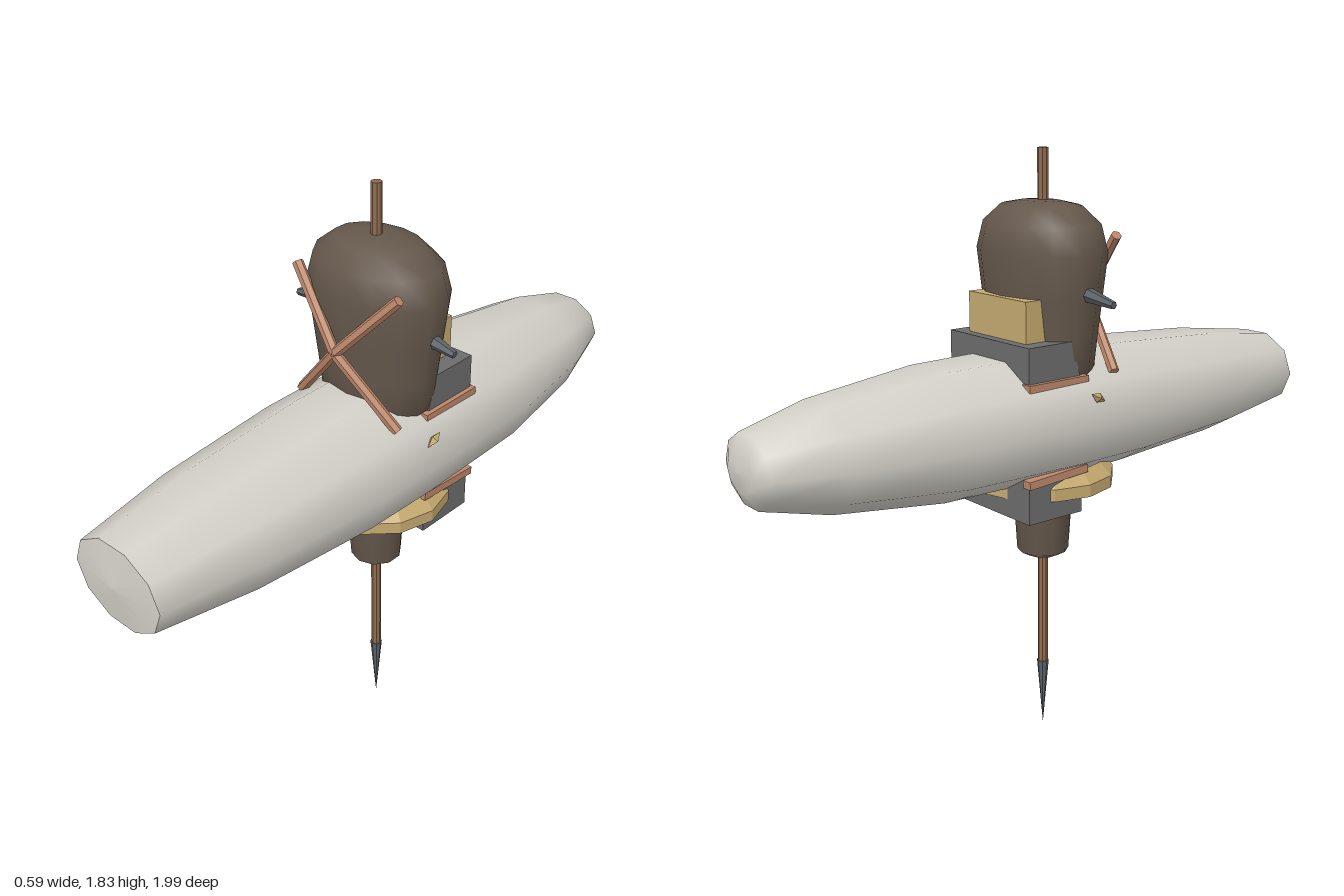
import * as THREE from 'three';

const V = (x, y, z) => new THREE.Vector3(x, y, z);

export function createModel() {
  const model = new THREE.Group();
  const mat = (color, flatShading = false) => new THREE.MeshStandardMaterial({ color, flatShading, side: THREE.DoubleSide });
  const pale = mat(0xd2cfc7), brown = mat(0x65584c), wood = mat(0x8f6b50, true), copper = mat(0xbd876a, true);
  const tan = mat(0xc4a970, true), grey = mat(0x6c6c6c, true), iron = mat(0x5c6168, true);

  function add(name, geometry, material, x = 0, y = 0, z = 0) {
    const mesh = new THREE.Mesh(geometry, material);
    mesh.name = name;
    mesh.position.set(x, y, z);
    model.add(mesh);
    return mesh;
  }
  // profile points are [radius, height]
  const lathe = (pts, sides, start = 0) =>
    new THREE.LatheGeometry(pts.map(p => new THREE.Vector2(...p)), sides, start);
  // side outline of [z, y] points, extruded across x
  function prism(pts, x0, x1) {
    const shape = new THREE.Shape(pts.map(p => new THREE.Vector2(...p)));
    return new THREE.ExtrudeGeometry(shape, { depth: x1 - x0, bevelEnabled: false })
      .rotateY(-Math.PI / 2).translate(x1, 0, 0);
  }
  // tapered rod between two points
  function rod(name, a, b, r0, r1, material, sides = 6) {
    const d = b.clone().sub(a);
    const mesh = add(name, new THREE.CylinderGeometry(r1, r0, d.length(), sides), material);
    mesh.position.copy(a).add(b).multiplyScalar(0.5);
    mesh.quaternion.setFromUnitVectors(V(0, 1, 0), d.normalize());
    return mesh;
  }

  // long ten-sided hull lying along z, domed at the back and cut off at the front
  const hull = [[0, -1], [0.07, -0.995], [0.13, -0.97], [0.195, -0.77], [0.248, -0.42],
    [0.256, 0], [0.252, 0.25], [0.218, 0.66], [0.165, 0.97]];
  const lay = g => g.rotateX(Math.PI / 2).scale(1, 0.79, 1);
  add('hull', lay(lathe(hull, 10, Math.PI / 2)), pale, 0.015, 1.055);
  add('hullFrontCap', lay(lathe([[0.165, 0.97], [0, 0.985]], 10, Math.PI / 2)), pale, 0.015, 1.055);

  // oval sack on top
  const sack = [[0, 1.12], [0.13, 1.14], [0.185, 1.2], [0.197, 1.3], [0.213, 1.42], [0.229, 1.54],
    [0.205, 1.62], [0.14, 1.67], [0.07, 1.682], [0, 1.685]];
  add('sack', lathe(sack, 14).scale(1, 1, 0.71), brown, 0.015, 0, -0.002);

  // tapered socket below
  add('socket', lathe([[0.05, 0.595], [0.08, 0.612], [0.098, 0.9]], 10), brown, 0.01);
  add('socketBottom', lathe([[0, 0.595], [0.05, 0.595]], 10), brown, 0.01);

  // pole through everything, with a pointed tip
  add('pole', new THREE.CylinderGeometry(0.016, 0.016, 1.62, 8), wood, 0.01, 1.02);
  add('poleTip', new THREE.ConeGeometry(0.019, 0.225, 8).rotateX(Math.PI), iron, 0.01, 0.1125);

  // crossed straps, each bent forward at the crossing
  for (const s of [-1, 1]) {
    const centre = V(0.013, 1.39, 0.175);
    rod('strapUpper', V(0.013 + s * 0.185, 1.588, 0.122), centre, 0.016, 0.016, copper);
    rod('strapLower', centre, V(0.013 + s * 0.185, 1.19, 0.122), 0.016, 0.016, copper);
    // side pin and hull peg
    rod('sidePin', V(0.01 + s * 0.18, 1.435, 0), V(-0.002 + s * 0.295, 1.415, 0), 0.024, 0.011, iron);
    const peg = add('hullPeg', new THREE.OctahedronGeometry(0.03), tan, 0.015 + s * 0.232, 1.135, 0.02);
    peg.scale.set(0.5, 0.5, 1);
    peg.rotation.x = 0.5;
    // rails along both blocks
    const railX = 0.015 + s * 0.183;
    add('upperRail', new THREE.BoxGeometry(0.032, 0.022, 0.22), copper, railX, 1.186, -0.098);
    add('lowerRail', new THREE.BoxGeometry(0.032, 0.024, 0.22), copper, railX, 0.91, -0.098)
      .rotation.x = -0.06;
  }

  // blocks behind the sack and under the hull
  add('upperBlock', prism([[-0.005, 1.18], [-0.2, 1.18], [-0.2, 1.3], [-0.04, 1.3]], -0.17, 0.2), grey);
  add('backrest', prism([[-0.1, 1.3], [-0.17, 1.3], [-0.17, 1.42], [-0.115, 1.42]], -0.12, 0.145), tan);
  add('lowerBlock', prism([[0, 0.78], [-0.2, 0.78], [-0.2, 0.91], [0, 0.91]], -0.17, 0.2), grey);

  // ring collar under the hull
  add('collar', lathe([[0.185, 0.835], [0.222, 0.835], [0.222, 0.872], [0.185, 0.91], [0.185, 0.835]], 12),
    tan, 0.013);

  return model;
}
